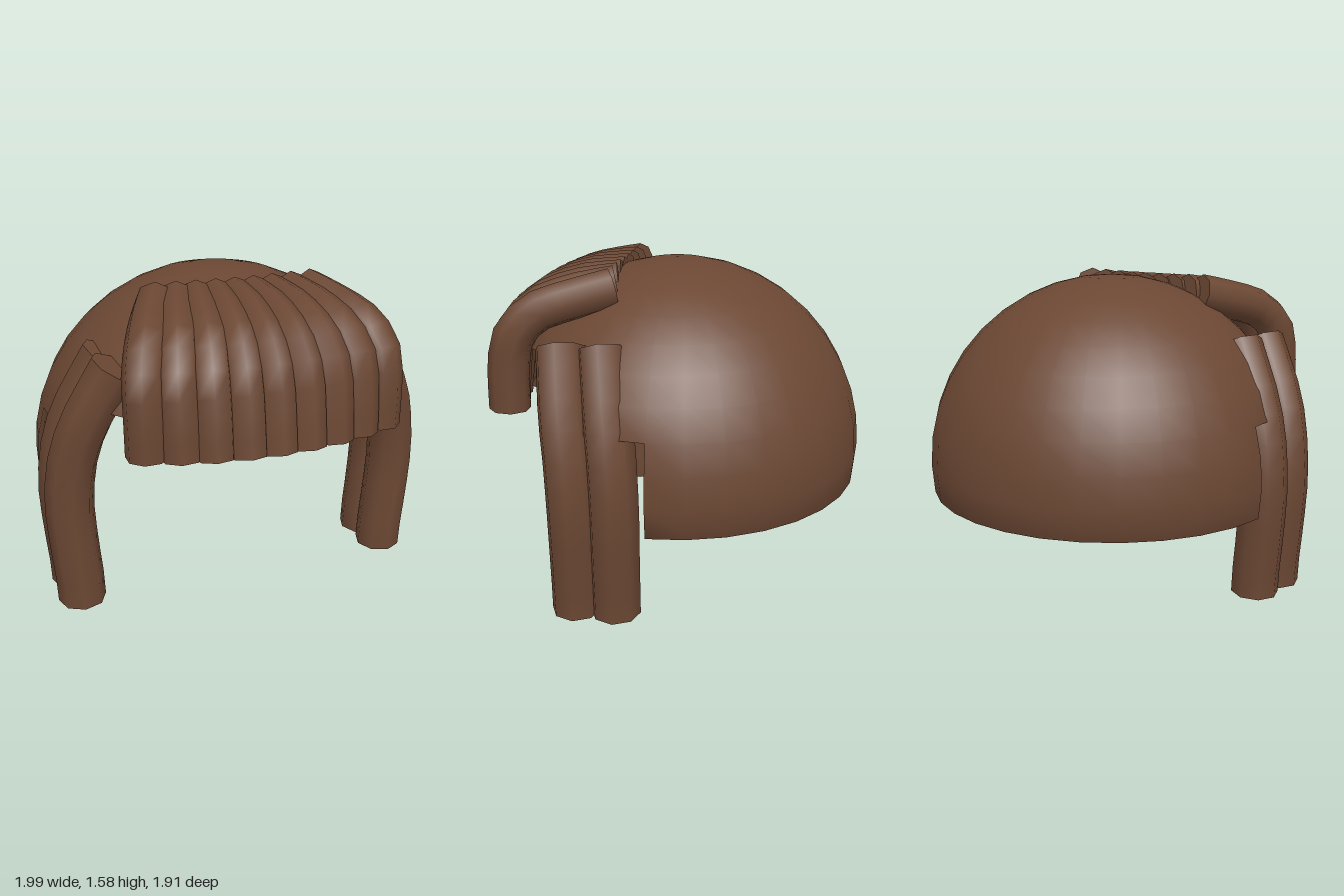
import * as THREE from 'three';
import { mergeGeometries } from 'three/addons/utils/BufferGeometryUtils.js';

const SIDES = 8;
const V = (x, y, z) => new THREE.Vector3(x, y, z);

// A smooth tube along the points, closed at both ends with flat caps
function strandGeometry(points, radius) {
  const segs = 10;
  const tube = new THREE.TubeGeometry(new THREE.CatmullRomCurve3(points), segs, radius, SIDES);
  const p = tube.attributes.position;
  const cap = (ring, centre, outward) => {
    const corner = (i) => V().fromBufferAttribute(p, ring * (SIDES + 1) + i);
    const normal = corner(0).sub(centre).cross(corner(1).sub(centre));
    const flip = normal.dot(outward) < 0;
    const pos = [];
    for (let i = 0; i < SIDES; i++) {
      const a = corner(i), b = corner(i + 1);
      for (const v of flip ? [centre, b, a] : [centre, a, b]) pos.push(v.x, v.y, v.z);
    }
    const g = new THREE.BufferGeometry();
    g.setAttribute('position', new THREE.Float32BufferAttribute(pos, 3));
    g.computeVertexNormals();
    return g;
  };
  const last = points.length - 1;
  const start = cap(0, points[0], points[0].clone().sub(points[1]));
  const end = cap(segs, points[last], points[last].clone().sub(points[last - 1]));
  tube.deleteAttribute('uv');
  return mergeGeometries([tube.toNonIndexed(), start, end]);
}

// A dome with wall thickness; rowsAt(column) tells how far down each column reaches
function shellGeometry(radius, thickness, cols, rows, rowStep, rowsAt) {
  const pos = [], index = [];
  for (const r of [radius, radius - thickness]) {
    for (let j = 0; j <= rows; j++) {
      for (let i = 0; i < cols; i++) {
        const v = V().setFromSphericalCoords(r, j * rowStep, (i / cols) * Math.PI * 2);
        pos.push(v.x, v.y, v.z);
      }
    }
  }
  const inner = cols * (rows + 1);
  const at = (i, j) => (j === 0 ? 0 : j * cols + ((i + cols) % cols));
  const kept = (i, j) => j < rowsAt((i + cols) % cols);
  const quad = (a, b, c, d) => index.push(a, b, c, a, c, d);
  for (let i = 0; i < cols; i++) {
    for (let j = 0; j < rowsAt(i); j++) {
      const a = at(i, j), b = at(i, j + 1), c = at(i + 1, j + 1), d = at(i + 1, j);
      // outer and inner wall
      if (j === 0) index.push(a, b, c, inner + a, inner + c, inner + b);
      else {
        quad(a, b, c, d);
        quad(inner + d, inner + c, inner + b, inner + a);
      }
      // rim along the open edges
      const rim = (s, e) => quad(s, s + inner, e + inner, e);
      if (!kept(i, j + 1)) rim(b, c);
      if (!kept(i - 1, j)) rim(a, b);
      if (!kept(i + 1, j)) rim(c, d);
    }
  }
  const g = new THREE.BufferGeometry();
  g.setAttribute('position', new THREE.Float32BufferAttribute(pos, 3));
  g.setIndex(index);
  g.computeVertexNormals();
  return g;
}

export function createModel() {
  const group = new THREE.Group();
  const hair = new THREE.MeshStandardMaterial({ color: 0x6b4733 });
  hair.name = 'brownHair';
  const add = (name, geometry, parent = group) => {
    const m = new THREE.Mesh(geometry, hair);
    m.name = name;
    parent.add(m);
    return m;
  };

  // Cap: low at the back, cut in steps around the face (column 0 starts at the front)
  const capRows = (i) => {
    const fromFront = Math.min(i, 31 - i);
    if (fromFront >= 8) return 11;
    if (fromFront >= 6) return 8;
    return fromFront >= 4 ? 7 : 6;
  };
  const cap = add('cap', shellGeometry(0.967, 0.04, 32, 11, Math.PI / 20, capRows));
  cap.position.set(0, 0.613, 0.016);

  // Fringe: nine strands fanning out; each blends a centre path and an outer path
  const centrePath = [[0.28, 1.475], [0.5, 1.45], [0.69, 1.37], [0.79, 1.25], [0.83, 1.1], [0.862, 0.912]];
  const outerPath = [[0.27, 1.485], [0.44, 1.445], [0.62, 1.385], [0.715, 1.28], [0.745, 1.13], [0.752, 0.92]];
  const outerX = [0.385, 0.46, 0.53, 0.57, 0.575, 0.575];
  const fringe = new THREE.Group();
  fringe.name = 'fringe';
  group.add(fringe);
  for (let i = -4; i <= 4; i++) {
    const t = i / 4, k = t * t;
    const pts = centrePath.map(([z, y], j) => V(
      outerX[j] * t,
      THREE.MathUtils.lerp(y, outerPath[j][1], k),
      THREE.MathUtils.lerp(z, outerPath[j][0], k)));
    add('fringeStrand', strandGeometry(pts, 0.1), fringe);
  }

  // Side locks: two long strands hanging on each side of the face
  const lockXY = [[0.64, 1.25], [0.79, 0.97], [0.85, 0.78], [0.876, 0.55], [0.864, 0.3], [0.845, 0.06], [0.845, 0]];
  const lockZ = {
    frontLock: [0.465, 0.42, 0.39, 0.375, 0.375, 0.378, 0.378],
    backLock: [0.265, 0.215, 0.19, 0.177, 0.18, 0.183, 0.183],
  };
  for (const side of [1, -1]) {
    const locks = new THREE.Group();
    locks.name = side > 0 ? 'leftLocks' : 'rightLocks';
    group.add(locks);
    for (const [name, zs] of Object.entries(lockZ)) {
      const pts = lockXY.map(([x, y], j) => V(side * x, y, zs[j]));
      add(name, strandGeometry(pts, 0.12), locks);
    }
  }
  return group;
}
